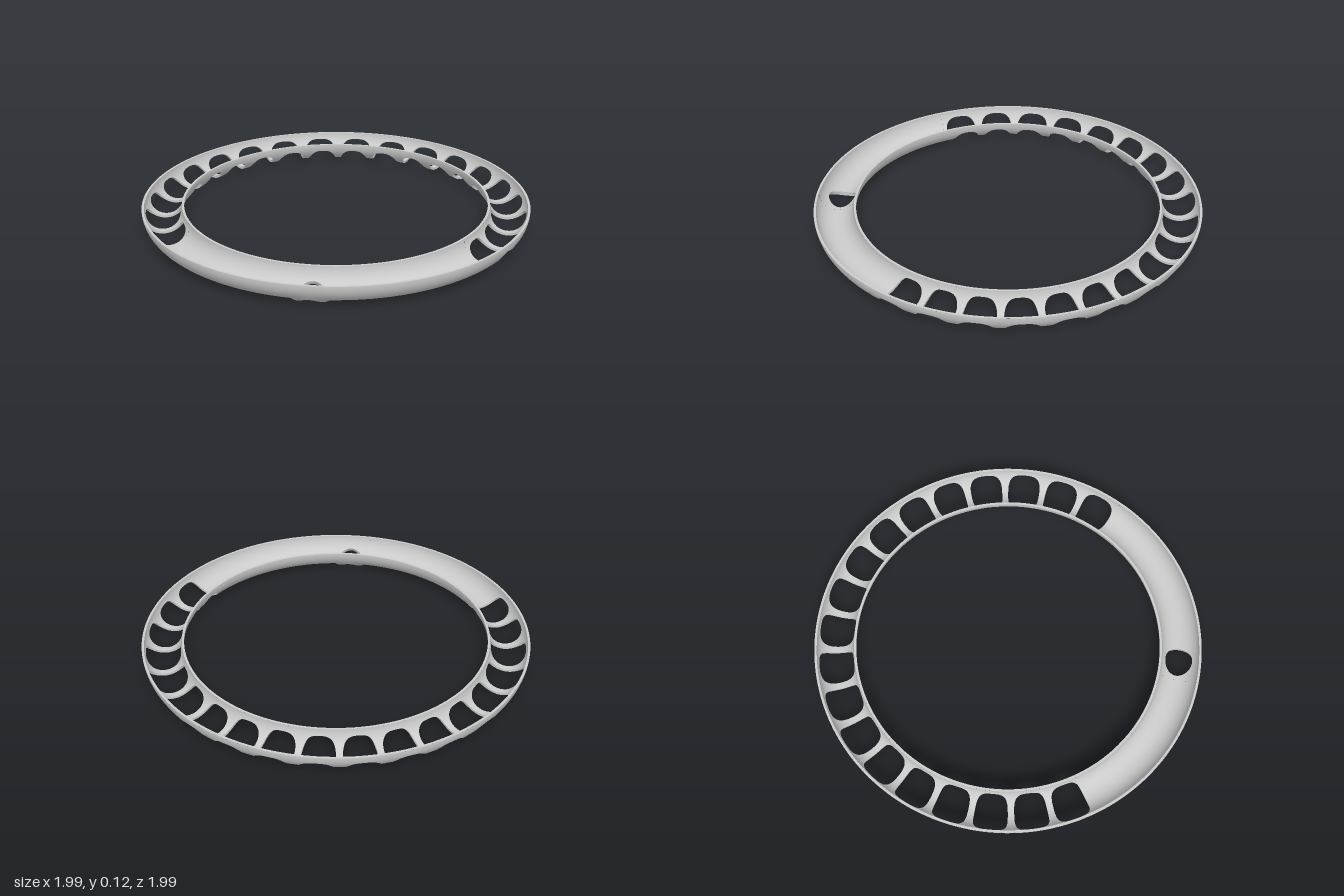
import * as THREE from 'three';

const SECTORS = 28, STEP = (2 * Math.PI) / SECTORS;
const MID = 0.8875, TOP = 0.12;              // centre radius of the channel, rim height
const OUTER = { a: 0.1075, b: 0.11, sign: 1 };   // underside skin of the half-round channel
const INNER = { a: 0.0955, b: 0.098, sign: -1 }; // upper skin

const material = new THREE.MeshStandardMaterial({ color: 0xcccccc });

// Point on a skin: t = angle around the ring from the back, s = angle across the channel
function skinPoint(skin, t, s) {
  const r = MID + skin.a * Math.sin(s);
  return new THREE.Vector3(r * Math.sin(t), TOP - skin.b * Math.cos(s), -r * Math.cos(t));
}

function skinNormal(skin, t, s) {
  const r = Math.sin(s) / skin.a;
  return new THREE.Vector3(r * Math.sin(t), -Math.cos(s) / skin.b, -r * Math.cos(t))
    .normalize().multiplyScalar(skin.sign);
}

// Grid surface; point(u, v) and the optional normal(u, v) take 0..1
function grid(nu, nv, flip, point, normal) {
  const pos = [], nor = [], idx = [];
  for (let i = 0; i <= nu; i++) {
    for (let j = 0; j <= nv; j++) {
      pos.push(...point(i / nu, j / nv).toArray());
      if (normal) nor.push(...normal(i / nu, j / nv).toArray());
      if (i === nu || j === nv) continue;
      const a = i * (nv + 1) + j, b = a + nv + 1, c = b + 1, d = a + 1;
      if (flip) idx.push(a, c, b, a, d, c);
      else idx.push(a, b, c, a, c, d);
    }
  }
  const g = new THREE.BufferGeometry();
  g.setAttribute('position', new THREE.Float32BufferAttribute(pos, 3));
  g.setIndex(idx);
  if (normal) g.setAttribute('normal', new THREE.Float32BufferAttribute(nor, 3));
  else g.computeVertexNormals();
  return g;
}

// Rounded-square opening in (t, s)
function windowEdge(phi) {
  const c = Math.cos(phi), s = Math.sin(phi);
  const k = Math.pow(Math.abs(c) ** 3 + Math.abs(s) ** 3, -1 / 3);
  return [0.094 * c * k, 1.2 * s * k];
}

// Round vertical hole in (t, s)
function roundEdge(phi) {
  const dx = 0.075 * Math.cos(phi), dr = 0.075 * Math.sin(phi);
  return [Math.atan2(dx, MID + dr), Math.asin(dr / 0.103)];
}

// One sector of the channel with an opening through both skins
function piercedSector(name, angle, edge, lip) {
  const group = new THREE.Group();
  group.name = name;
  const at = (u, v) => {
    const phi = u * Math.PI * 2, c = Math.cos(phi), s = Math.sin(phi);
    const k = 1 / Math.max(Math.abs(c), Math.abs(s));
    const [t, w] = edge(phi);
    return [
      THREE.MathUtils.lerp(t, (STEP / 2) * c * k, v),
      THREE.MathUtils.lerp(w, (Math.PI / 2) * s * k, v),
    ];
  };
  const place = (skin, u, v) => {
    const [t, s] = at(u, v);
    const p = skinPoint(skin, t, s);
    // shallow lip under the hole
    if (skin === OUTER) p.y -= lip * (1 - THREE.MathUtils.smoothstep(Math.hypot(p.x, p.z + MID), 0.076, 0.1));
    return p;
  };
  for (const skin of [OUTER, INNER]) {
    const mesh = new THREE.Mesh(grid(64, 6, skin === INNER,
      (u, v) => place(skin, u, v),
      (u, v) => skinNormal(skin, ...at(u, v))), material);
    mesh.name = skin === OUTER ? 'underside' : 'channelFloor';
    group.add(mesh);
  }
  const wall = new THREE.Mesh(grid(64, 1, true,
    (u, v) => place(OUTER, u, 0).lerp(place(INNER, u, 0), v)), material);
  wall.name = 'openingEdge';
  group.add(wall);
  group.rotation.y = -angle;
  return group;
}

// Unbroken stretch of channel between two ring angles
function plainArc(name, from, to) {
  const group = new THREE.Group();
  group.name = name;
  const at = (u, v) => [THREE.MathUtils.lerp(from, to, u), (v - 0.5) * Math.PI];
  for (const skin of [OUTER, INNER]) {
    const mesh = new THREE.Mesh(grid(48, 24, skin === OUTER,
      (u, v) => skinPoint(skin, ...at(u, v)),
      (u, v) => skinNormal(skin, ...at(u, v))), material);
    mesh.name = skin === OUTER ? 'underside' : 'channelFloor';
    group.add(mesh);
  }
  return group;
}

export function createModel() {
  const model = new THREE.Group();
  model.name = 'channelRing';

  // Row of windows around the back and sides
  for (let k = -9; k <= 9; k++) model.add(piercedSector('windowSector', k * STEP, windowEdge, 0));

  // Front hole with its lip
  model.add(piercedSector('frontHoleSector', Math.PI, roundEdge, 0.01));

  // Solid front stretches on both sides
  model.add(plainArc('leftSolidArc', 9.5 * STEP, 13.5 * STEP));
  model.add(plainArc('rightSolidArc', 14.5 * STEP, 18.5 * STEP));

  // Flat rims closing the wall thickness
  const rims = [
    ['innerRim', MID - OUTER.a, MID - INNER.a],
    ['outerRim', MID + INNER.a, MID + OUTER.a],
  ];
  for (const [name, r0, r1] of rims) {
    const rim = new THREE.Mesh(new THREE.RingGeometry(r0, r1, 224, 1), material);
    rim.name = name;
    rim.rotation.x = -Math.PI / 2;
    rim.position.y = TOP;
    model.add(rim);
  }
  return model;
}
